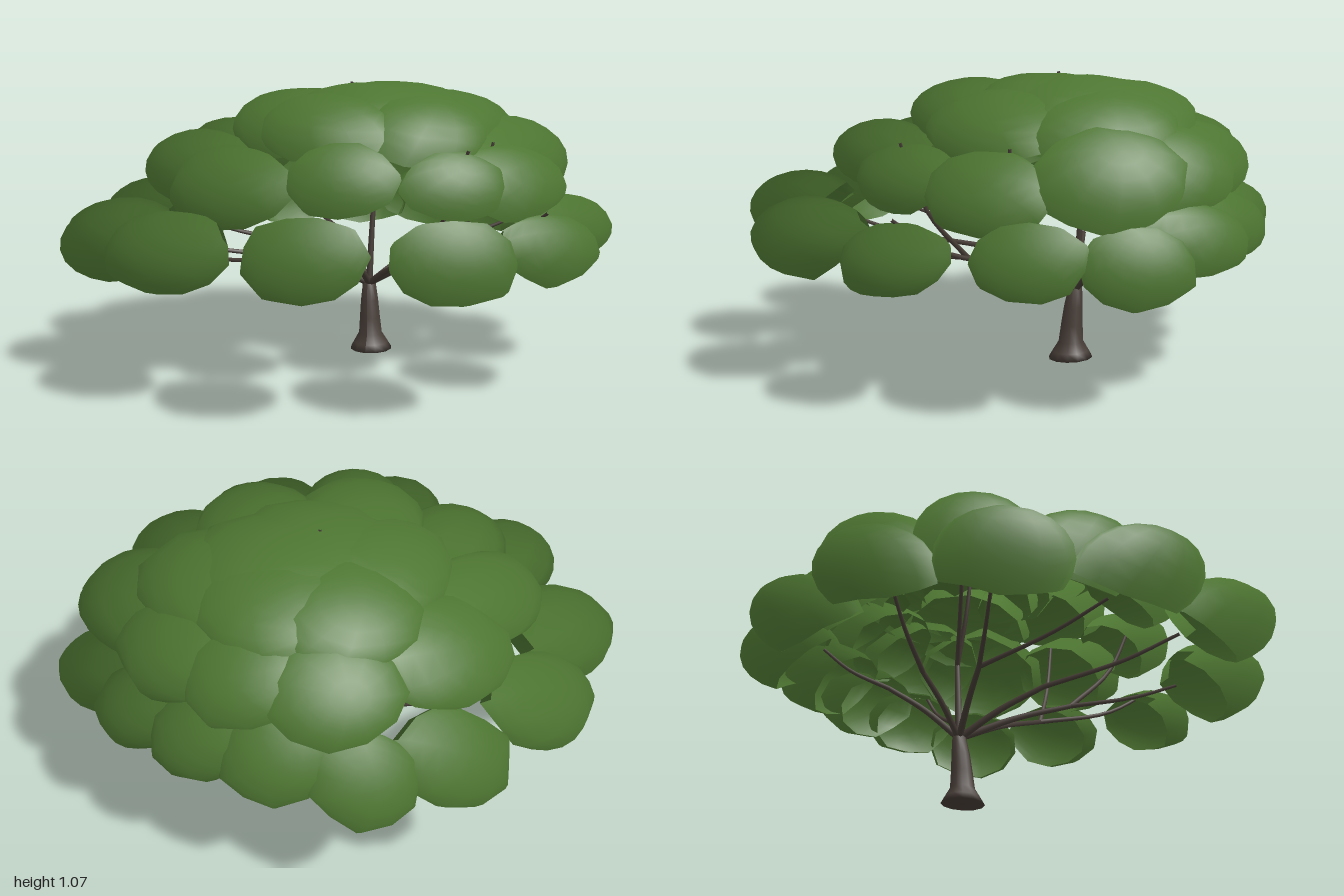
import * as THREE from 'three';

const leafMaterial = new THREE.MeshStandardMaterial({ color: 0x4e7632, side: THREE.DoubleSide });
leafMaterial.name = 'leaf green';
const barkMaterial = new THREE.MeshStandardMaterial({ color: 0x463c36 });
barkMaterial.name = 'dark bark';

const UP = new THREE.Vector3(0, 1, 0);
const FORK = [0.05, 0.265, -0.27];
const CANOPY_CENTRE = new THREE.Vector3(0.05, 0.45, -0.27);

let seed = 7;
function random() {
  seed = (seed * 16807) % 2147483647;
  return seed / 2147483647;
}

// Each tier: vertical flattening and opening tilt of its clumps, then x, y, z, radius
const tiers = [
  { name: 'lowerFoliage', flat: 0.67, tilt: 40, clumps: [
    [-0.715, 0.5, 0.34, 0.228], [-0.375, 0.53, 0.67, 0.212], [0.135, 0.555, 0.76, 0.205],
    [0.575, 0.535, 0.565, 0.212], [0.83, 0.525, 0.19, 0.178], [0.81, 0.535, -0.24, 0.19],
    [0.67, 0.5, -0.57, 0.19], [0.4, 0.54, -0.73, 0.185], [0.15, 0.55, -0.77, 0.185],
    [-0.12, 0.55, -0.76, 0.2], [-0.42, 0.53, -0.72, 0.19], [-0.64, 0.53, -0.5, 0.2],
    [-0.79, 0.54, -0.1, 0.205]] },
  { name: 'middleFoliage', flat: 0.66, tilt: 45, clumps: [
    [-0.26, 0.725, 0.38, 0.22], [0.16, 0.77, 0.43, 0.195], [0.505, 0.74, 0.23, 0.18],
    [0.63, 0.71, -0.07, 0.215], [0.53, 0.76, -0.45, 0.265], [0.3, 0.76, -0.62, 0.23],
    [0.03, 0.76, -0.65, 0.23], [-0.26, 0.75, -0.6, 0.24], [-0.5, 0.76, -0.28, 0.24],
    [-0.5, 0.755, 0.09, 0.22]] },
  { name: 'upperFoliage', flat: 0.55, tilt: 65, clumps: [
    [-0.19, 0.9, -0.1, 0.26], [0, 0.91, 0.13, 0.24], [0.32, 0.89, -0.05, 0.25],
    [0.31, 0.89, -0.4, 0.26], [0.06, 0.9, -0.44, 0.27], [-0.18, 0.89, -0.38, 0.26]] },
  { name: 'crownFoliage', flat: 0.45, tilt: 85, clumps: [
    [0.05, 0.93, -0.16, 0.31], [0.13, 0.93, -0.3, 0.31]] },
];

// Ragged flattened shell, open on the inner underside; normals fan out from the canopy centre
function clumpGeometry([x, y, z, radius], flat, tilt) {
  const sides = 11, rings = 7;
  const geometry = new THREE.SphereGeometry(1, sides, rings, 0, Math.PI * 2, 0, Math.PI * 0.64);
  const azimuth = Math.atan2(z - CANOPY_CENTRE.z, x - CANOPY_CENTRE.x);
  const e = THREE.MathUtils.degToRad(tilt);
  const axis = new THREE.Vector3(Math.cos(azimuth) * Math.cos(e), Math.sin(e), Math.sin(azimuth) * Math.cos(e));
  const turn = new THREE.Quaternion().setFromUnitVectors(UP, axis);
  const ragged = Array.from({ length: sides }, () => 0.94 + random() * 0.15);
  const p = geometry.attributes.position, n = geometry.attributes.normal;
  const v = new THREE.Vector3(), own = new THREE.Vector3(), outward = new THREE.Vector3();
  for (let i = 0; i < p.count; i++) {
    const ring = Math.floor(i / (sides + 1)) / rings;
    const rough = 1 + (ragged[(i % (sides + 1)) % sides] - 1) * Math.min(1, ring * 1.6);
    v.fromBufferAttribute(p, i).applyQuaternion(turn);
    own.set(v.x, v.y / flat, v.z).normalize();
    v.multiplyScalar(rough * radius);
    p.setXYZ(i, x + v.x, y + v.y * flat, z + v.z);
    outward.fromBufferAttribute(p, i).sub(CANOPY_CENTRE).normalize();
    own.lerp(outward, 0.7).normalize();
    n.setXYZ(i, own.x, own.y, own.z);
  }
  return geometry;
}

// Tube that narrows from r0 to r1 along a smooth path
function taperedTube(points, r0, r1) {
  const curve = new THREE.CatmullRomCurve3(points.map((q) => new THREE.Vector3(...q)));
  const steps = 10, sides = 6;
  const geometry = new THREE.TubeGeometry(curve, steps, 1, sides, false);
  const p = geometry.attributes.position;
  for (let i = 0; i < p.count; i++) {
    const t = Math.floor(i / (sides + 1)) / steps;
    const c = curve.getPointAt(t);
    const r = r0 + (r1 - r0) * t;
    p.setXYZ(i, c.x + (p.getX(i) - c.x) * r, c.y + (p.getY(i) - c.y) * r, c.z + (p.getZ(i) - c.z) * r);
  }
  return geometry;
}

// Flared trunk with a slight lean
function makeTrunk() {
  const profile = [[0, 0.004], [0.083, 0.004], [0.068, 0.03], [0.047, 0.065], [0.041, 0.13], [0.035, 0.2], [0.026, 0.27], [0, 0.285]];
  const geometry = new THREE.LatheGeometry(profile.map(([r, y]) => new THREE.Vector2(r, y)), 12);
  const p = geometry.attributes.position;
  for (let i = 0; i < p.count; i++) {
    const t = p.getY(i) / 0.28;
    // The foot tips up slightly towards the back
    p.setY(i, p.getY(i) - p.getZ(i) * 0.05 * Math.max(0, 1 - t));
    p.setX(i, p.getX(i) + 0.063 - 0.013 * t);
    p.setZ(i, p.getZ(i) - 0.255 - 0.015 * t * t);
  }
  geometry.computeVertexNormals();
  const trunk = new THREE.Mesh(geometry, barkMaterial);
  trunk.name = 'trunk';
  return trunk;
}

// Limbs fan out from the fork and split into twigs that end in the foliage
function makeBranches() {
  const branches = new THREE.Group();
  branches.name = 'branches';
  const add = (name, points, r0, r1) => {
    const mesh = new THREE.Mesh(taperedTube(points, r0, r1), barkMaterial);
    mesh.name = name;
    branches.add(mesh);
  };
  // Bend of each limb, then the tips it splits to
  const limbs = [
    [[-0.22, 0.405, -0.03], [[-0.58, 0.5, 0.22], [-0.32, 0.5, 0.53]]],
    [[0.08, 0.42, 0.08], [[0.11, 0.53, 0.62]]],
    [[0.31, 0.425, 0.08], [[0.5, 0.51, 0.45], [0.56, 0.868, 0.25]]],
    [[0.4, 0.425, -0.1], [[0.83, 0.657, 0.2], [0.57, 0.86, -0.13]]],
    [[0.3, 0.44, -0.43], [[0.58, 0.52, -0.52], [0.36, 0.62, -0.62]]],
    [[-0.14, 0.44, -0.47], [[-0.34, 0.56, -0.64]]],
    [[-0.25, 0.42, -0.25], [[-0.66, 0.54, -0.12]]],
    [[0.06, 0.58, -0.29], [[-0.26, 1.03, -0.08], [0, 1.072, -0.19]]],
  ];
  for (const [bend, tips] of limbs) {
    const middle = FORK.map((c, i) => (c + bend[i]) / 2 + (i === 1 ? 0.015 : 0));
    add('limb', [FORK, middle, bend], 0.014, 0.01);
    for (const tip of tips) {
      // Twigs run out low, then rise into the leaves
      const knee = bend.map((c, i) => c + (tip[i] - c) * (i === 1 ? 0.42 : 0.6));
      add('twig', [bend, knee, tip], 0.01, 0.006);
    }
  }
  return branches;
}

export function createModel() {
  const tree = new THREE.Group();
  tree.name = 'tree';
  tree.add(makeTrunk(), makeBranches());

  // Foliage tiers, from the wide skirt up to the crown
  for (const { name, flat, tilt, clumps } of tiers) {
    const tier = new THREE.Group();
    tier.name = name;
    for (const clump of clumps) {
      const mesh = new THREE.Mesh(clumpGeometry(clump, flat, tilt), leafMaterial);
      mesh.name = 'leafClump';
      tier.add(mesh);
    }
    tree.add(tier);
  }
  return tree;
}
